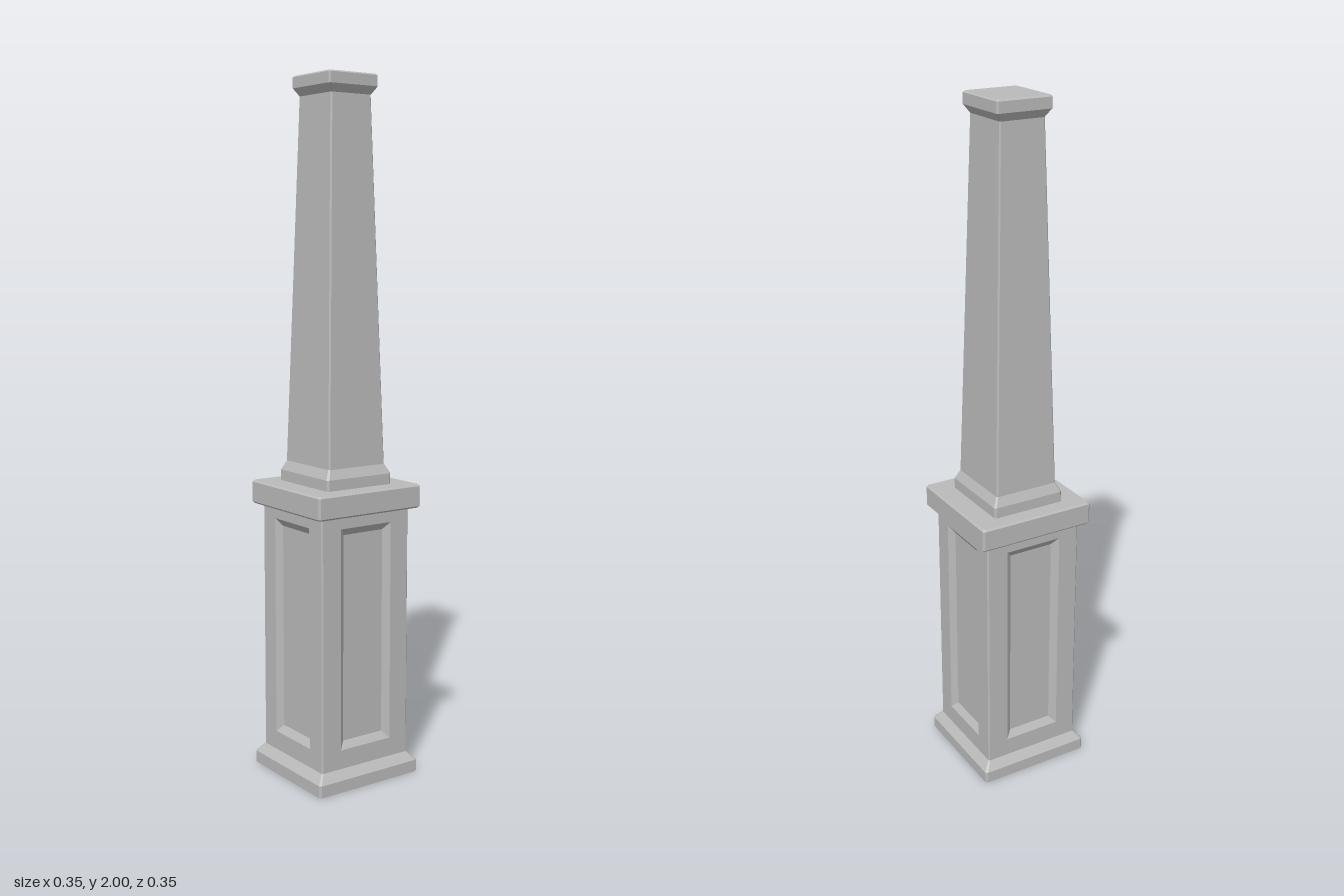
import * as THREE from 'three';

const stone = new THREE.MeshStandardMaterial({ color: 0xbababa, side: THREE.DoubleSide });
stone.name = 'grey stone';

// Rectangle outline with optional clipped corners, counter-clockwise in xy at height w
function outline([hx, hy, w, c = 0]) {
  const p = c
    ? [[hx, -hy + c], [hx, hy - c], [hx - c, hy], [-hx + c, hy],
       [-hx, hy - c], [-hx, -hy + c], [-hx + c, -hy], [hx - c, -hy]]
    : [[hx, -hy], [hx, hy], [-hx, hy], [-hx, -hy]];
  return p.map(([x, y]) => [x, y, w]);
}

// Flat-faced skin through a series of rectangles along z; ends may be closed
function loft(sections, { start = false, end = false } = {}) {
  const rings = sections.map(outline);
  const n = rings[0].length;
  const pos = [];
  const tri = (a, b, c) => pos.push(...a, ...b, ...c);
  for (let r = 0; r < rings.length - 1; r++) {
    for (let i = 0; i < n; i++) {
      const j = (i + 1) % n;
      const [a, b, c, d] = [rings[r][i], rings[r][j], rings[r + 1][j], rings[r + 1][i]];
      tri(a, b, c);
      tri(a, c, d);
    }
  }
  const first = rings[0], last = rings[rings.length - 1];
  for (let i = 1; i < n - 1; i++) {
    if (start) tri(first[0], first[i + 1], first[i]);
    if (end) tri(last[0], last[i], last[i + 1]);
  }
  const g = new THREE.BufferGeometry();
  g.setAttribute('position', new THREE.Float32BufferAttribute(pos, 3));
  g.computeVertexNormals();
  return g;
}

function part(name, geometry) {
  const m = new THREE.Mesh(geometry, stone);
  m.name = name;
  return m;
}

const upright = (sections, ends) => loft(sections, ends).rotateX(-Math.PI / 2);

export function createModel() {
  const model = new THREE.Group();
  model.name = 'column';

  // Hollow plinth, open underneath, with a sloped top edge
  model.add(part('plinth', upright([
    [0.173, 0.17, 0, 0.006], [0.173, 0.17, 0.035, 0.006], [0.151, 0.149, 0.06, 0.004],
  ])));

  // Pedestal: four walls, each with a bevelled recessed panel
  const pedestal = new THREE.Group();
  pedestal.name = 'pedestal';
  const hx = 0.151, hz = 0.149, c = 0.004, halfHeight = 0.38;
  for (let i = 0; i < 4; i++) {
    const [half, depth] = i % 2 ? [hz, hx] : [hx, hz];
    const wall = part('panelledWall', loft([
      [half - c / 2, halfHeight, depth - c / 2],
      [half - c, halfHeight, depth],
      [0.087, 0.32, depth],
      [0.068, 0.299, depth - 0.015],
    ], { end: true }));
    wall.position.y = 0.435;
    wall.rotation.y = i * Math.PI / 2;
    pedestal.add(wall);
  }
  model.add(pedestal);

  // Slab on the pedestal with eased edges
  model.add(part('slab', upright([
    [0.172, 0.168, 0.79, 0.006], [0.177, 0.173, 0.795, 0.006],
    [0.177, 0.173, 0.853, 0.006], [0.172, 0.168, 0.858, 0.006],
  ], { start: true, end: true })));

  // Tapered shaft with its foot moulding and capital
  const shaft = new THREE.Group();
  shaft.name = 'shaft';
  shaft.position.set(0.001, 0, -0.003);
  shaft.add(part('footMoulding', upright([
    [0.111, 0.121, 0.857, 0.006], [0.111, 0.121, 0.889, 0.006], [0.097, 0.108, 0.916, 0.004],
  ])));
  shaft.add(part('taperedShaft', upright([
    [0.097, 0.108, 0.916, 0.004], [0.068, 0.078, 1.944, 0.004],
  ])));
  shaft.add(part('capital', upright([
    [0.068, 0.078, 1.944, 0.004], [0.083, 0.091, 1.966, 0.005],
    [0.083, 0.091, 1.996, 0.005], [0.079, 0.087, 2, 0.005],
  ], { end: true })));
  model.add(shaft);

  return model;
}
